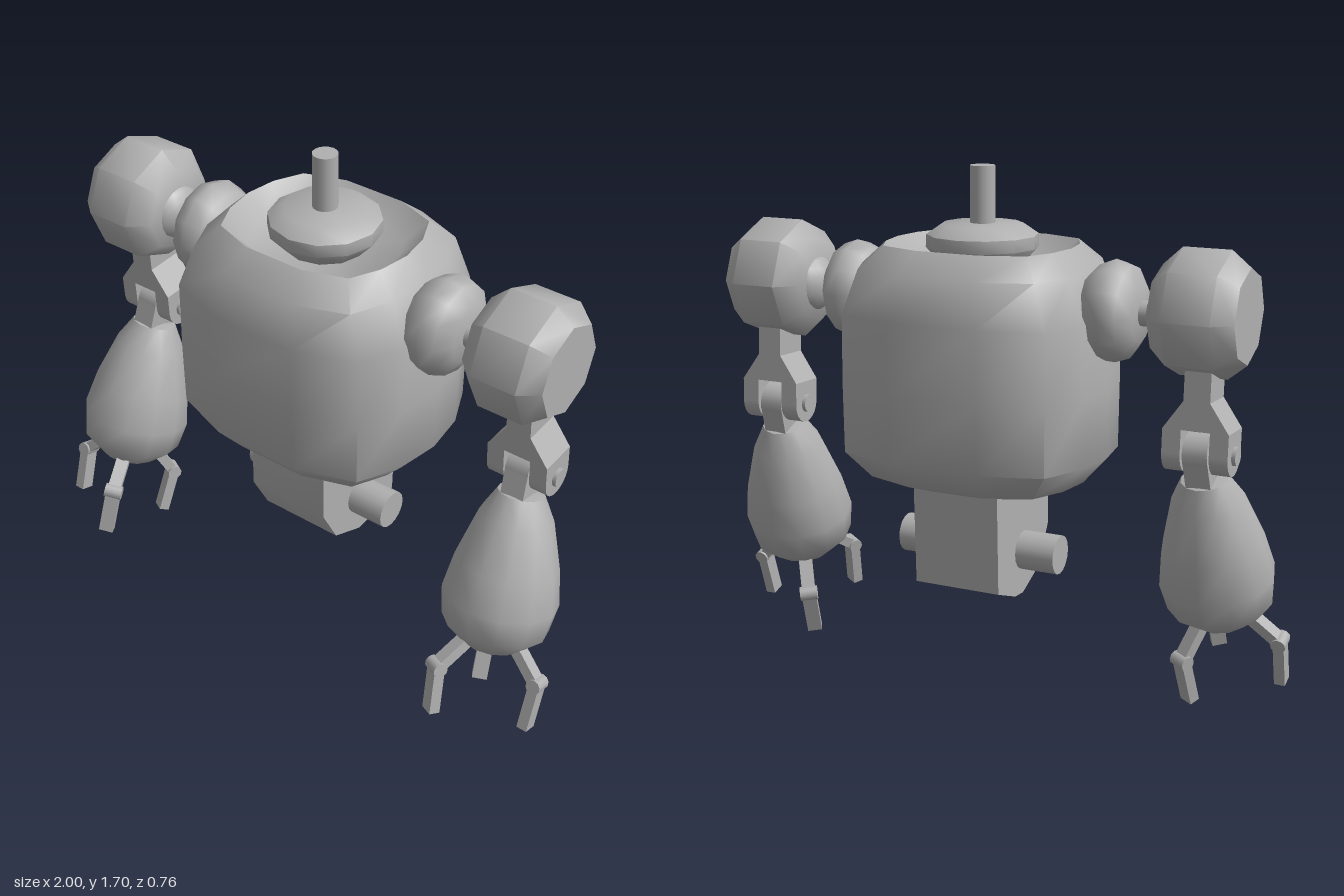
import * as THREE from 'three';
import { toCreasedNormals } from 'three/addons/utils/BufferGeometryUtils.js';

const grey = new THREE.MeshStandardMaterial({ color: 0xb0b0b0 });
grey.name = 'plain grey';
const CREASE = 0.88;

function add(parent, name, geometry, x = 0, y = 0, z = 0) {
  const mesh = new THREE.Mesh(geometry, grey);
  mesh.name = name;
  mesh.position.set(x, y, z);
  parent.add(mesh);
  return mesh;
}

// Turned part: [radius, height] pairs listed from bottom to top
function turned(profile, sides) {
  const points = profile.map(([r, h]) => new THREE.Vector2(r, h));
  return toCreasedNormals(new THREE.LatheGeometry(points, sides), CREASE);
}

// Cylinder lying along x
function pin(radius, length, sides = 16) {
  return new THREE.CylinderGeometry(radius, radius, length, sides).rotateZ(Math.PI / 2);
}

// Prism of a closed outline, centred on its depth
function prism(outline, depth) {
  const shape = new THREE.Shape(outline.map(([a, b]) => new THREE.Vector2(a, b)));
  return new THREE.ExtrudeGeometry(shape, { depth, bevelEnabled: false }).translate(0, 0, -depth / 2);
}

// Boxy rounded shell lofted through rings of [y, half width, half depth]
function shell(rings) {
  const quarter = [[1, 0], [0.95, 0.42], [0.8, 0.81], [0.35, 1]];
  const half = [...quarter, ...quarter.slice(1).reverse().map(([x, z]) => [-x, z])];
  const loop = [...half, ...half.map(([x, z]) => [-x, -z])];
  const n = loop.length;
  const position = [], index = [];
  rings.forEach(([y, rx, rz], i) => {
    loop.forEach(([x, z], j) => {
      position.push(x * rx, y, z * rz);
      if (i + 1 === rings.length) return;
      const a = i * n + j, b = i * n + (j + 1) % n;
      index.push(a, a + n, b, b, a + n, b + n);
    });
  });
  const geometry = new THREE.BufferGeometry();
  geometry.setAttribute('position', new THREE.Float32BufferAttribute(position, 3));
  geometry.setIndex(index);
  return toCreasedNormals(geometry, CREASE);
}

// Square bar between two points of the finger's own plane
function bar(parent, name, from, to, thickness, width) {
  const dx = to[0] - from[0], dy = to[1] - from[1];
  const mesh = add(parent, name, new THREE.BoxGeometry(thickness, Math.hypot(dx, dy), width),
    (from[0] + to[0]) / 2, (from[1] + to[1]) / 2, 0);
  mesh.rotation.z = Math.atan2(-dx, dy);
}

function createFinger() {
  const finger = new THREE.Group();
  finger.name = 'finger';
  const knuckle = [0.185, -0.69];
  bar(finger, 'upperFinger', [0.085, -0.59], knuckle, 0.035, 0.045);
  bar(finger, 'fingertip', knuckle, [0.175, -0.85], 0.036, 0.05);
  add(finger, 'knuckle', new THREE.CylinderGeometry(0.025, 0.025, 0.06, 10).rotateX(Math.PI / 2), ...knuckle, 0);
  return finger;
}

function createForearm() {
  const forearm = new THREE.Group();
  forearm.name = 'forearm';
  add(forearm, 'elbowTab', pin(0.064, 0.08));
  add(forearm, 'elbowTabShank', new THREE.BoxGeometry(0.08, 0.12, 0.125), 0, -0.06, 0);
  add(forearm, 'forearmShell', turned([
    [0, -0.62], [0.1, -0.612], [0.172, -0.545], [0.187, -0.45],
    [0.166, -0.33], [0.118, -0.17], [0.075, -0.09], [0, -0.075],
  ], 12));
  for (let i = 0; i < 3; i++) {
    const finger = createFinger();
    finger.rotation.y = i * Math.PI * 2 / 3;
    forearm.add(finger);
  }
  forearm.position.set(0.755, 0.875, -0.03);
  forearm.rotation.set(-0.3, 0, 0.05);
  return forearm;
}

function createArm() {
  const arm = new THREE.Group();
  arm.name = 'arm';

  // Shoulder joint, built along x
  const sideways = (profile, sides) => turned(profile, sides).rotateZ(-Math.PI / 2);
  add(arm, 'shoulderSocket', sideways([
    [0, 0.34], [0.1, 0.36], [0.14, 0.4], [0.162, 0.455], [0.145, 0.505], [0.09, 0.54], [0, 0.545],
  ], 12), 0, 1.285, 0);
  add(arm, 'shoulderAxle', pin(0.04, 0.14), 0.57, 1.285, 0);
  add(arm, 'shoulderBall', new THREE.SphereGeometry(0.11, 16, 12), 0.67, 1.29, 0);
  add(arm, 'shoulderDrum', sideways([
    [0, 0.605], [0.14, 0.605], [0.197, 0.667], [0.197, 0.82], [0.148, 0.88], [0, 0.88],
  ], 8), 0, 1.302, 0);

  // Forked bracket carrying the elbow, heights measured from the elbow pin
  const bracket = new THREE.Group();
  bracket.name = 'elbowBracket';
  const left = [[-0.042, 0.32], [-0.042, 0.165], [-0.105, 0.075], [-0.105, 0], [-0.046, 0], [-0.046, 0.075]];
  const right = left.map(([x, y]) => [-x, y]).reverse();
  add(bracket, 'fork', prism([...left, ...right], 0.13));
  for (const s of [-1, 1]) add(bracket, 'forkEnd', pin(0.065, 0.059, 20), s * 0.0755, 0, 0);
  add(bracket, 'elbowPin', pin(0.03, 0.235), 0, 0, 0);
  bracket.position.set(0.755, 0.88, -0.033);
  bracket.rotation.x = 0.05;
  arm.add(bracket);

  arm.add(createForearm());
  return arm;
}

export function createModel() {
  const model = new THREE.Group();
  model.name = 'robotTorso';

  // Torso with a sunken collar
  add(model, 'torso', shell([
    [0.67, 0, 0], [0.672, 0.19, 0.16], [0.72, 0.355, 0.285], [0.81, 0.435, 0.36],
    [1.03, 0.436, 0.365], [1.26, 0.433, 0.365], [1.4, 0.375, 0.335], [1.468, 0.305, 0.252],
    [1.4, 0.235, 0.19], [1.39, 0, 0],
  ]));
  add(model, 'neckDisc', turned([
    [0, 1.385], [0.13, 1.4], [0.18, 1.455], [0.178, 1.495], [0.13, 1.528], [0, 1.532],
  ], 12));
  add(model, 'neckRod', new THREE.CylinderGeometry(0.04, 0.04, 0.2, 16), 0, 1.61, 0);

  // Pelvis block with hip axle; outline is given as depth and height
  add(model, 'pelvis', toCreasedNormals(prism([
    [-0.2, 0.72], [-0.2, 0.5], [-0.13, 0.37], [0, 0.315], [0.06, 0.32], [0.19, 0.37], [0.203, 0.72],
  ], 0.296).rotateY(Math.PI / 2), 0.6));
  add(model, 'hipAxle', pin(0.064, 0.56), 0, 0.465, 0);

  // Arms
  for (const side of [1, -1]) {
    const arm = createArm();
    arm.name = side > 0 ? 'leftArm' : 'rightArm';
    arm.scale.x = side;
    model.add(arm);
  }
  return model;
}
